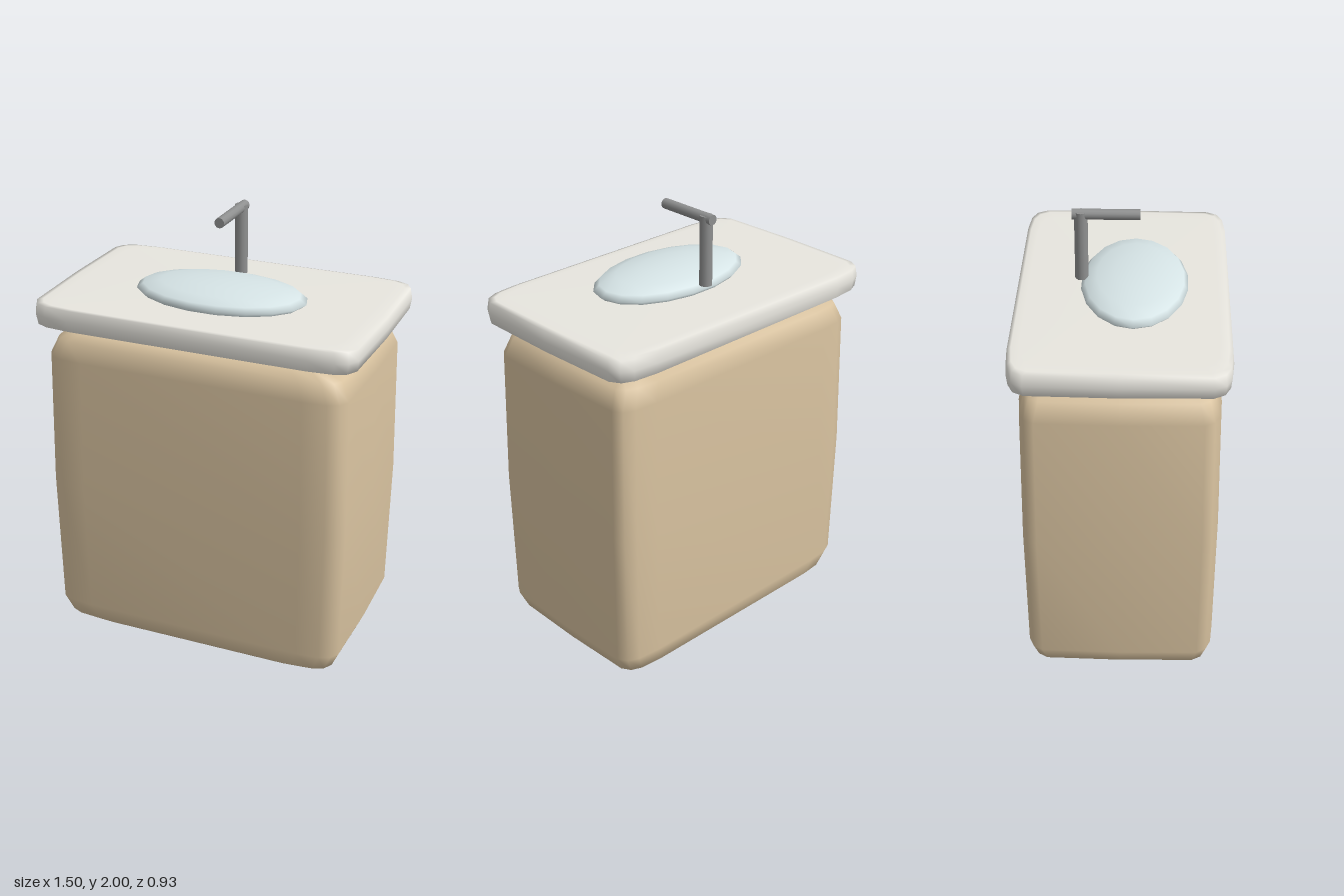
import * as THREE from 'three';
import { mergeVertices } from 'three/addons/utils/BufferGeometryUtils.js';

const bend = (v, e) => Math.sign(v) * Math.pow(Math.abs(v), e);

// Superellipsoid: small exponents give a softly bulging box, 1 gives an ellipsoid
function superellipsoid(rx, ry, rz, eVertical, eRound) {
  const cols = 18, rows = 8;
  let geo = new THREE.SphereGeometry(1, cols, rows);
  const pos = geo.attributes.position;
  for (let i = 0; i < pos.count; i++) {
    const theta = (Math.floor(i / (cols + 1)) / rows) * Math.PI;
    const phi = ((i % (cols + 1)) / cols) * Math.PI * 2;
    const ring = theta < 1e-6 || theta > Math.PI - 1e-6 ? 0 : bend(Math.sin(theta), eVertical);
    const clean = (v) => (Math.abs(v) < 1e-9 ? 0 : v);
    pos.setXYZ(
      i,
      -rx * ring * bend(clean(Math.cos(phi)), eRound),
      ry * bend(clean(Math.cos(theta)), eVertical),
      rz * ring * bend(clean(Math.sin(phi)), eRound)
    );
  }
  // weld the seam so shading runs smoothly all the way round
  geo.deleteAttribute('uv');
  geo.deleteAttribute('normal');
  geo = mergeVertices(geo, 1e-5);
  geo.computeVertexNormals();
  return geo;
}

export function createModel() {
  const model = new THREE.Group();
  model.name = 'washbasinCabinet';

  const add = (name, geometry, color, x, y, z) => {
    const mesh = new THREE.Mesh(geometry, new THREE.MeshStandardMaterial({ color }));
    mesh.name = name;
    mesh.position.set(x, y, z);
    model.add(mesh);
    return mesh;
  };

  // Base cabinet, with a narrow gap below the countertop
  add('cabinet', superellipsoid(0.715, 0.755, 0.43, 0.2, 0.18), 0xd9c3a0, 0, 0.755, 0);
  add('countertop', superellipsoid(0.75, 0.054, 0.465, 0.13, 0.18), 0xe8e6df, 0, 1.585, 0);

  // Oval basin
  add('basin', superellipsoid(0.395, 0.06, 0.234, 1, 1), 0xd6e4e6, 0, 1.655, 0.05);

  // Tap: upright post and forward spout
  const metal = 0x8f9090;
  add('tapPost', new THREE.CylinderGeometry(0.029, 0.029, 0.315, 12), metal, 0, 1.8325, -0.18);
  const spout = add('tapSpout', new THREE.CylinderGeometry(0.023, 0.023, 0.29, 12), metal, 0, 1.977, -0.073);
  spout.rotation.x = Math.PI / 2;

  return model;
}
